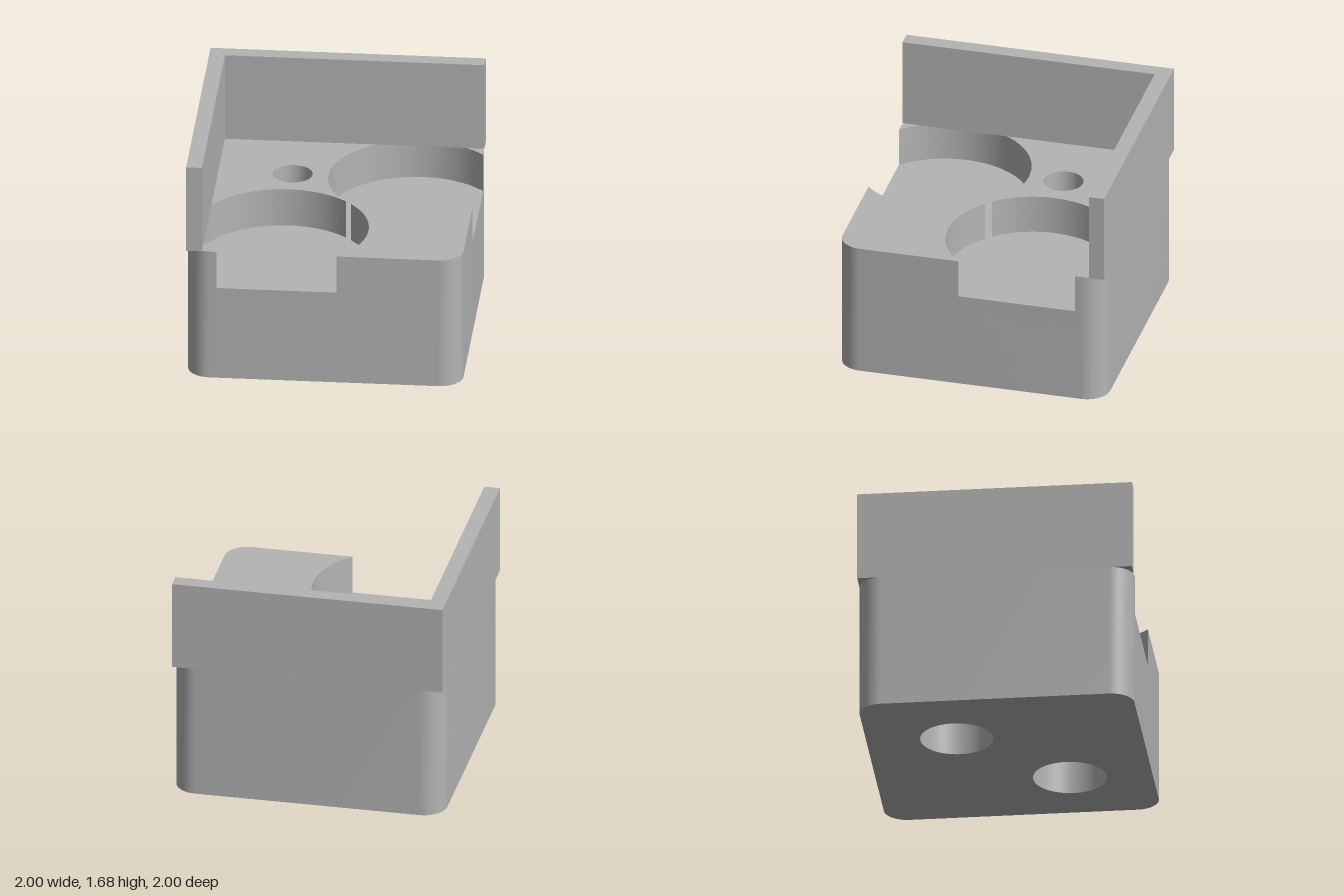
import * as THREE from 'three';
import { mergeGeometries, toCreasedNormals } from 'three/addons/utils/BufferGeometryUtils.js';

const PI = Math.PI;
const FLOOR = 0.72, TOP = 1.01, WALL_TOP = 1.68;    // heights
const WALL = 0.115, CORNER = 0.17;                  // wall thickness, corner radius
const BORE_TOP = 0.6, HOLE = 0.345;                 // counterbore depth, through hole position

// Points [x, z] along an arc
function arc(cx, cz, r, a0, a1, n) {
  return Array.from({ length: n + 1 }, (_, i) => {
    const a = a0 + (a1 - a0) * i / n;
    return [cx + r * Math.cos(a), cz + r * Math.sin(a)];
  });
}
const circle = (cx, cz, r) => arc(cx, cz, r, 0, 2 * PI, 64);
const mirror = pts => pts.map(([x, z]) => [z, x]).reverse();
const corner = (sx, sz, a) =>
  arc(sx * (1 - CORNER), sz * (1 - CORNER), CORNER, a, a - PI / 2, 16);

// Flat horizontal face, facing up (dir 1) or down (dir -1)
function cap(pts, y, dir, holes = []) {
  const to2 = list => list.map(([x, z]) => new THREE.Vector2(x, -dir * z));
  const shape = new THREE.Shape(to2(pts));
  shape.holes = holes.map(h => new THREE.Path(to2(h)));
  return new THREE.ShapeGeometry(shape).rotateX(-dir * PI / 2).translate(0, y, 0);
}

// Vertical surface along a line of points
function strip(pts, y0, y1) {
  const pos = [];
  for (let i = 0; i < pts.length - 1; i++) {
    const [ax, az] = pts[i], [bx, bz] = pts[i + 1];
    pos.push(ax, y0, az, bx, y0, bz, bx, y1, bz, ax, y0, az, bx, y1, bz, ax, y1, az);
  }
  return new THREE.BufferGeometry().setAttribute('position', new THREE.Float32BufferAttribute(pos, 3));
}

// Merge faces into one mesh with sharp edges and smooth curves
function solid(name, faces, material) {
  const plain = faces.map(f => {
    const g = f.index ? f.toNonIndexed() : f;
    g.deleteAttribute('normal');
    g.deleteAttribute('uv');
    return g;
  });
  const mesh = new THREE.Mesh(toCreasedNormals(mergeGeometries(plain), 0.5), material);
  mesh.name = name;
  return mesh;
}

export function createModel() {
  const grey = new THREE.MeshStandardMaterial({ color: 0xb4b4b4 });
  grey.name = 'grey';
  const model = new THREE.Group();
  model.name = 'holderBlock';

  // Two round pockets, mirrored about the diagonal, open to the front and right sides
  const cx = -0.345, cz = 0.545, r = 0.63;
  const open = Math.asin((1 - cz) / r);
  const meet = Math.acos((cz - cx) * Math.SQRT1_2 / r);
  const farB = arc(cx, cz, r, PI - open, 1.75 * PI - meet, 64);
  const nearB = arc(cx, cz, r, -PI / 4 + meet, open, 32);
  const farA = mirror(farB), nearA = mirror(nearB);
  const far = [...farB, ...farA.slice(1)];
  const near = [...nearA, ...nearB.slice(1)];

  // Outline of the block
  const frontCorner = corner(1, 1, PI / 2);
  const backCorners = [...corner(1, -1, 0), ...corner(-1, -1, -PI / 2), ...corner(-1, 1, -PI)];

  // Side face with the notch left by a pocket
  const half = r * Math.cos(open);
  const notched = s => new THREE.ShapeGeometry(new THREE.Shape([
    [CORNER - 1, 0], [1 - CORNER, 0], [1 - CORNER, TOP], [cx + half, TOP],
    [cx + half, FLOOR], [cx - half, FLOOR], [cx - half, TOP], [CORNER - 1, TOP],
  ].map(([x, y]) => new THREE.Vector2(s * x, y))));

  // Round holes: one runs through to the top, the other is blind
  const throughBore = circle(-HOLE, -HOLE, 0.265);
  const throughHole = circle(-HOLE, -HOLE, 0.145);
  const blindBore = circle(0.4, 0.4, 0.268);

  model.add(solid('block', [
    cap([...frontCorner, ...backCorners], 0, -1, [throughBore, blindBore]),
    strip(frontCorner, 0, TOP),
    strip(backCorners, 0, TOP),
    notched(1).translate(0, 0, 1),
    notched(-1).rotateY(PI / 2).translate(1, 0, 0),
    cap([...near, ...frontCorner], TOP, 1),
    cap([...far, ...backCorners], TOP, 1, [throughHole]),
  ], grey));

  model.add(solid('pockets', [
    cap([...far, ...near], FLOOR, 1),
    strip(far, FLOOR, TOP),
    strip(near, FLOOR, TOP),
  ], grey));

  model.add(solid('throughHole', [
    strip(throughBore, 0, BORE_TOP),
    cap(throughBore, BORE_TOP, -1, [throughHole]),
    strip(throughHole, BORE_TOP, TOP),
  ], grey));

  model.add(solid('blindHole', [
    strip(blindBore, 0, BORE_TOP),
    cap(blindBore, BORE_TOP, -1),
  ], grey));

  // Square-cornered guard wall along the back and one side
  const w = WALL - 1;
  const outline = [[-1, -1], [-1, 1], [w, 1], [w, w], [1, w], [1, -1], [-1, -1]];
  model.add(solid('guardWall', [
    strip(outline, TOP, WALL_TOP),
    cap(outline.slice(1), WALL_TOP, 1),
    cap(outline.slice(1), TOP, -1),
  ], grey));

  return model;
}
